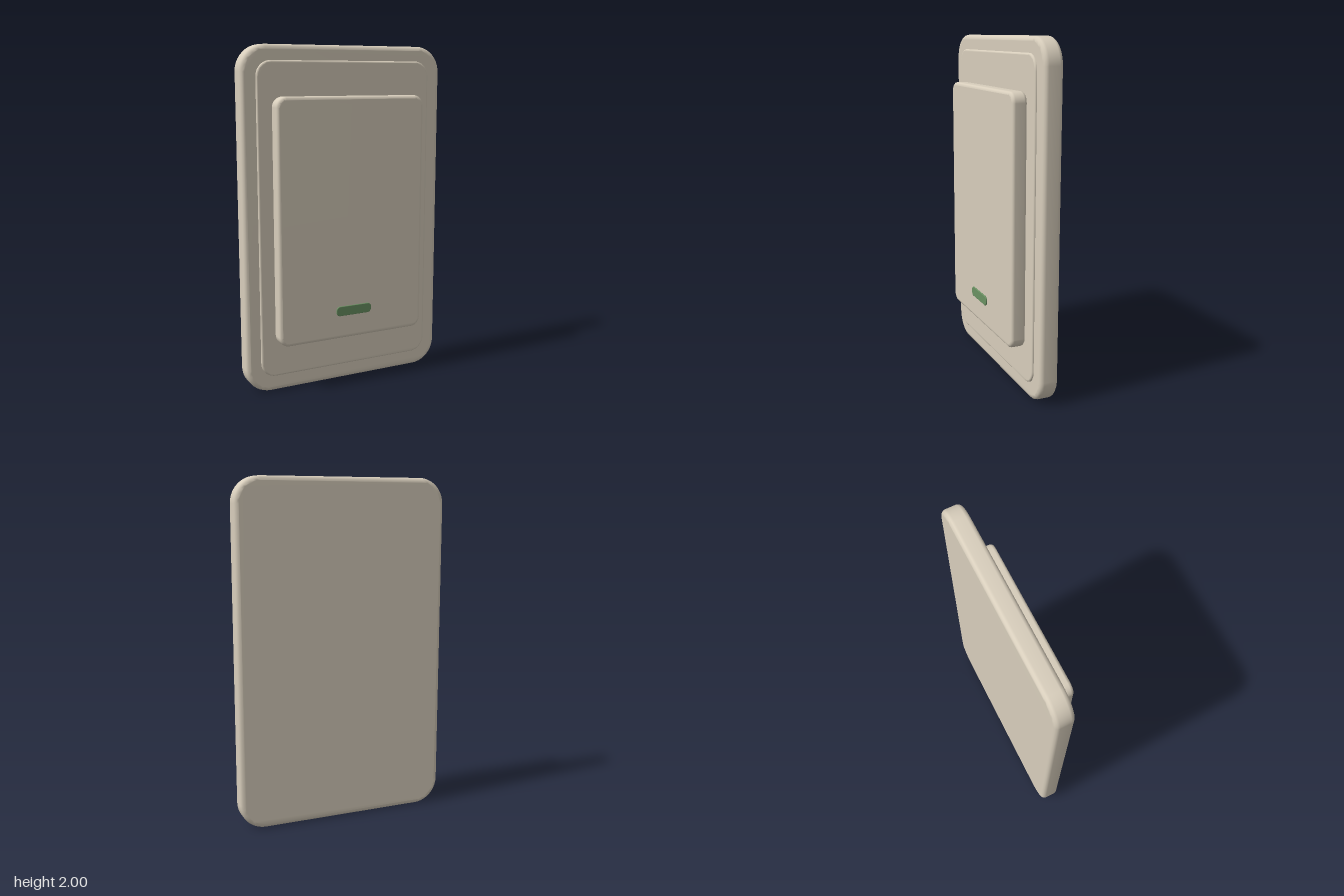
import * as THREE from 'three';
import { mergeVertices } from 'three/addons/utils/BufferGeometryUtils.js';

// Rounded rectangle outline centred on the origin
function roundedRect(w, h, r) {
  const x = w / 2, y = h / 2;
  const s = new THREE.Shape();
  s.moveTo(x, -y + r);
  s.lineTo(x, y - r);
  s.absarc(x - r, y - r, r, 0, Math.PI / 2);
  s.lineTo(-x + r, y);
  s.absarc(-x + r, y - r, r, Math.PI / 2, Math.PI);
  s.lineTo(-x, -y + r);
  s.absarc(-x + r, -y + r, r, Math.PI, Math.PI * 1.5);
  s.lineTo(x - r, -y);
  s.absarc(x - r, -y + r, r, Math.PI * 1.5, Math.PI * 2);
  return s;
}

// Soft-edged slab: full size w x h, spanning z0..z1, with smooth shared normals
function slab(name, material, { w, h, y, z0, z1, radius, bevel }) {
  const shape = roundedRect(w - 2 * bevel, h - 2 * bevel, radius - bevel);
  let geo = new THREE.ExtrudeGeometry(shape, {
    depth: z1 - z0 - 2 * bevel,
    bevelSize: bevel,
    bevelThickness: bevel,
    bevelSegments: 3,
    curveSegments: 5,
  });
  geo.deleteAttribute('uv');
  geo.deleteAttribute('normal');
  geo.clearGroups();
  geo = mergeVertices(geo, 1e-4);
  geo.computeVertexNormals();
  geo.translate(0, y, z0 + bevel);
  const mesh = new THREE.Mesh(geo, material);
  mesh.name = name;
  return mesh;
}

export function createModel() {
  const ivory = new THREE.MeshStandardMaterial({ color: 0xd8cebc });
  ivory.name = 'ivory plastic';
  const green = new THREE.MeshStandardMaterial({ color: 0x6a9162 });
  green.name = 'green indicator';

  const group = new THREE.Group();
  group.name = 'wallSwitch';
  group.add(
    // Wall plate
    slab('wallPlate', ivory, { w: 1.28, h: 2, y: 1, z0: -0.11, z1: 0, radius: 0.15, bevel: 0.025 }),
    // Thin raised surround
    slab('surround', ivory, { w: 1.105, h: 1.82, y: 1.003, z0: -0.02, z1: 0.011, radius: 0.09, bevel: 0.01 }),
    // Rocker paddle
    slab('rocker', ivory, { w: 0.94, h: 1.425, y: 1.003, z0: 0.012, z1: 0.098, radius: 0.06, bevel: 0.018 }),
    // Indicator strip
    slab('indicator', green, { w: 0.23, h: 0.058, y: 0.461, z0: 0.1, z1: 0.109, radius: 0.024, bevel: 0.003 }),
  );
  return group;
}
